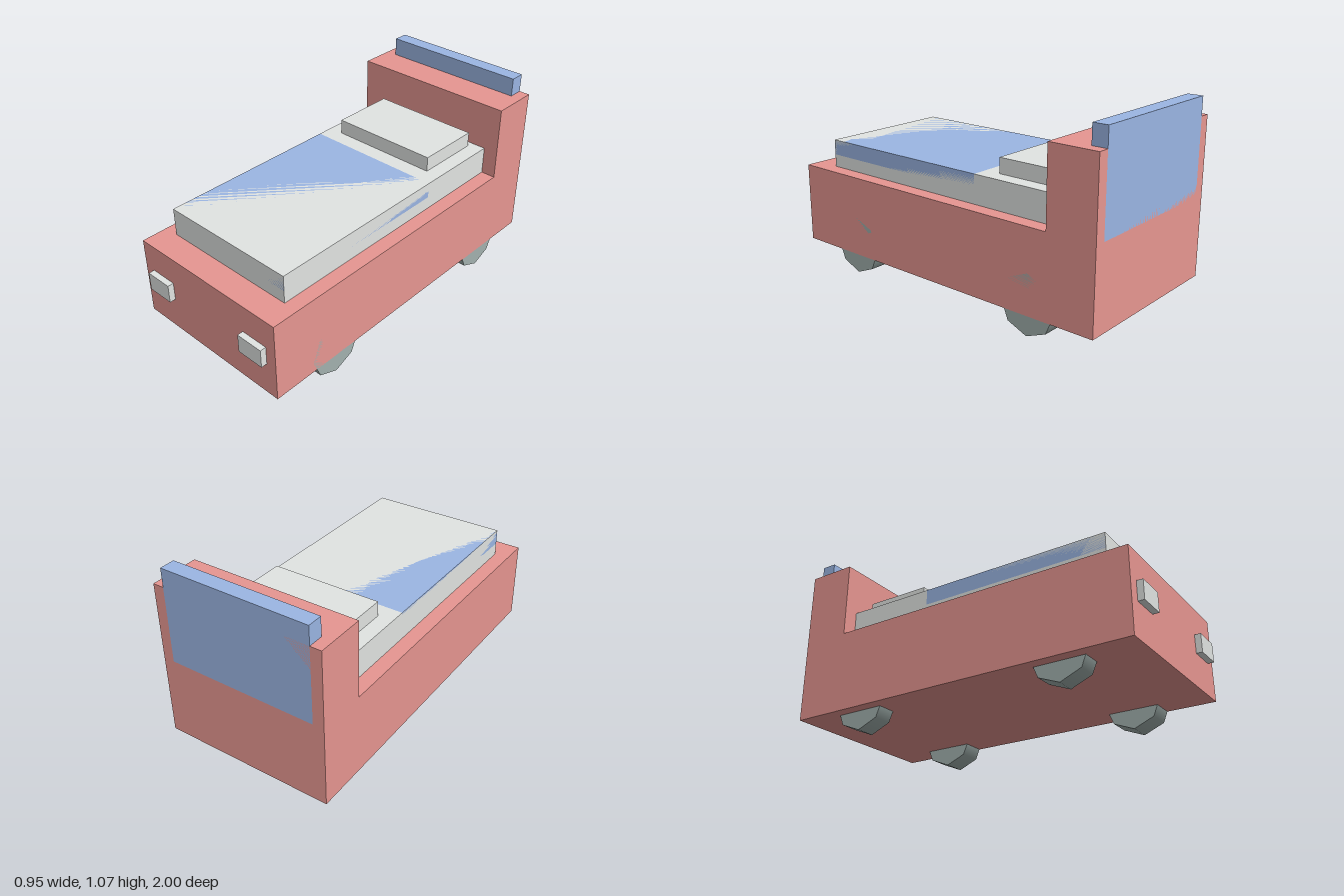
import * as THREE from 'three';

export function createModel() {
  const model = new THREE.Group();
  model.name = 'carBed';

  const mat = (name, color) => {
    const m = new THREE.MeshStandardMaterial({ color });
    m.name = name;
    return m;
  };
  const red = mat('red frame', 0xe89792);
  const grey = mat('light grey', 0xe2e5e3);
  const blue = mat('blue', 0x9bb6e4);
  const tyre = mat('grey green wheel', 0xa2b1ae);

  const add = (name, geometry, material) => {
    const mesh = new THREE.Mesh(geometry, material);
    mesh.name = name;
    model.add(mesh);
    return mesh;
  };
  // Box given by its limits on each axis
  const box = (name, material, [x0, x1], [y0, y1], [z0, z1]) => {
    const g = new THREE.BoxGeometry(x1 - x0, y1 - y0, z1 - z0);
    g.translate((x0 + x1) / 2, (y0 + y1) / 2, (z0 + z1) / 2);
    return add(name, g, material);
  };

  // L-shaped frame with headboard: side profile (z, y) extruded across x
  const halfWidth = 0.476;
  const back = -1;
  const profile = [[0.967, 0.104], [0.967, 0.55], [-0.73, 0.55], [-0.73, 0.966], [back, 0.966], [back, 0.104]];
  const shape = new THREE.Shape(profile.map(([z, y]) => new THREE.Vector2(-z, y)));
  const frame = new THREE.ExtrudeGeometry(shape, { depth: 2 * halfWidth, bevelEnabled: false });
  frame.translate(0, 0, -halfWidth).rotateY(Math.PI / 2);
  add('frame', frame, red);

  // Bedding: the blanket is let in flush with the mattress faces
  const bedX = [-0.394, 0.394], bedTop = 0.705, bedFront = 0.82;
  box('mattress', grey, bedX, [0.54, bedTop], [-0.735, bedFront]);
  box('blanket', blue, bedX, [0.62, bedTop], [-0.23, bedFront]);
  box('pillow', grey, [-0.31, 0.31], [0.7, 0.788], [-0.69, -0.32]);

  // Panel let in flush with the back of the headboard and rising above it
  box('spoiler', blue, [-0.415, 0.415], [0.55, 1.068], [back, -0.917]);

  // Headlights
  for (const [name, x0, x1] of [['rightHeadlight', -0.415, -0.259], ['leftHeadlight', 0.259, 0.415]]) {
    box(name, grey, [x0, x1], [0.291, 0.394], [0.96, 1]);
  }

  // Eight-sided wheels tucked under the frame, the left pair flush with its side
  for (const [end, z] of [['front', 0.566], ['rear', -0.627]]) {
    for (const [side, x0, x1] of [['Right', -0.415, -0.311], ['Left', 0.35, halfWidth]]) {
      const g = new THREE.CylinderGeometry(0.16, 0.16, x1 - x0, 8);
      g.rotateZ(Math.PI / 2).translate((x0 + x1) / 2, 0.16, z);
      add(`${end}${side}Wheel`, g, tyre);
    }
  }

  return model;
}
